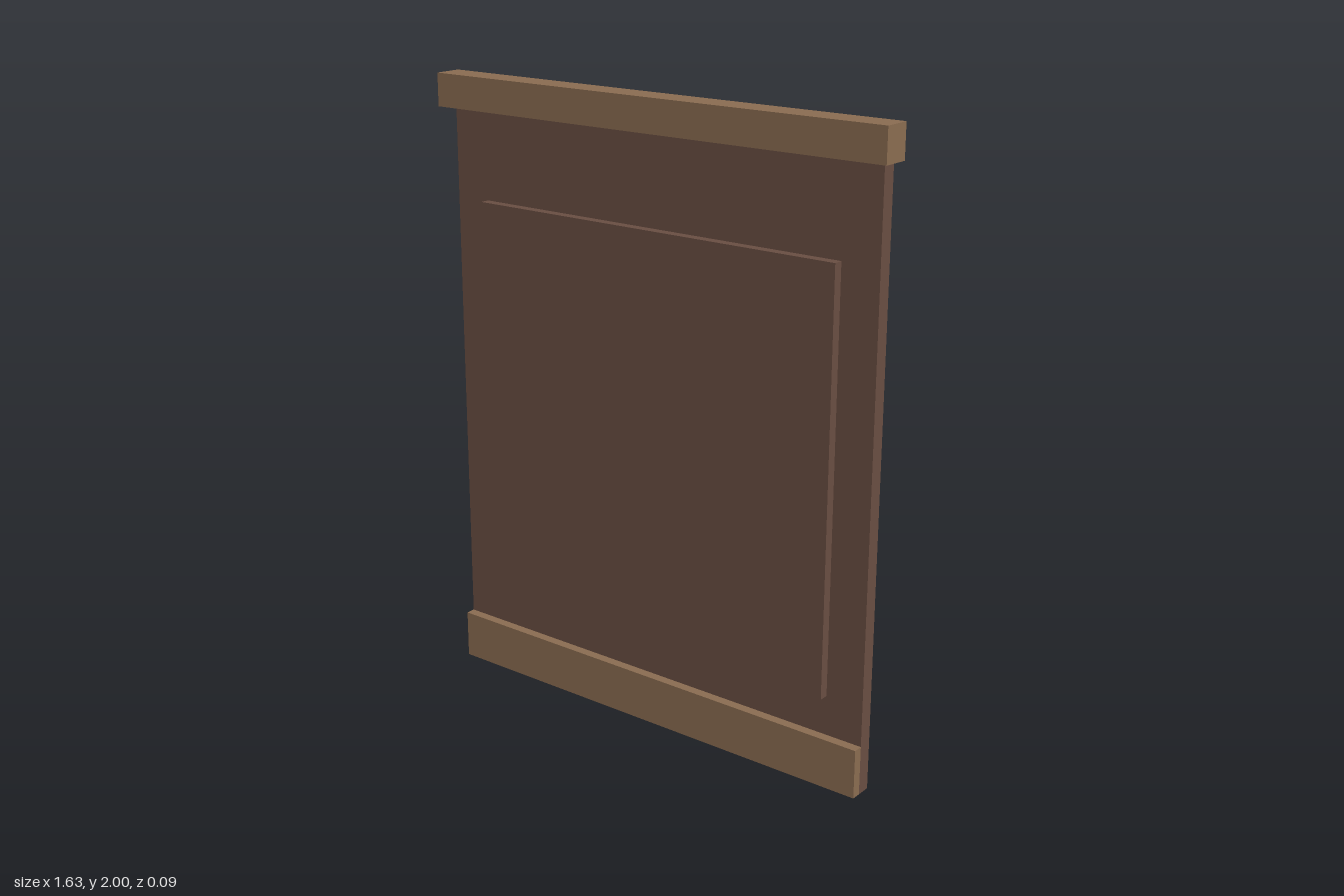
import * as THREE from 'three';

export function createModel() {
  const group = new THREE.Group();
  const darkWood = new THREE.MeshStandardMaterial({ color: 0x684d41 });
  darkWood.name = 'darkWood';
  const lightWood = new THREE.MeshStandardMaterial({ color: 0x896b50 });
  lightWood.name = 'lightWood';

  // Box centred on x, given by its width and its y and z ranges
  function addBoard(name, material, width, y0, y1, z0, z1) {
    const mesh = new THREE.Mesh(new THREE.BoxGeometry(width, y1 - y0, z1 - z0), material);
    mesh.position.set(0, (y0 + y1) / 2, (z0 + z1) / 2);
    mesh.name = name;
    group.add(mesh);
  }

  // Backing board, raised panel, skirting and the overhanging top rail
  addBoard('backBoard', darkWood, 1.57, 0, 1.895, -0.046, 0);
  addBoard('raisedPanel', darkWood, 1.32, 0.286, 1.608, 0, 0.031);
  addBoard('skirting', lightWood, 1.57, 0, 0.158, 0, 0.031);
  addBoard('topRail', lightWood, 1.635, 1.895, 2, -0.046, 0.046);

  return group;
}
